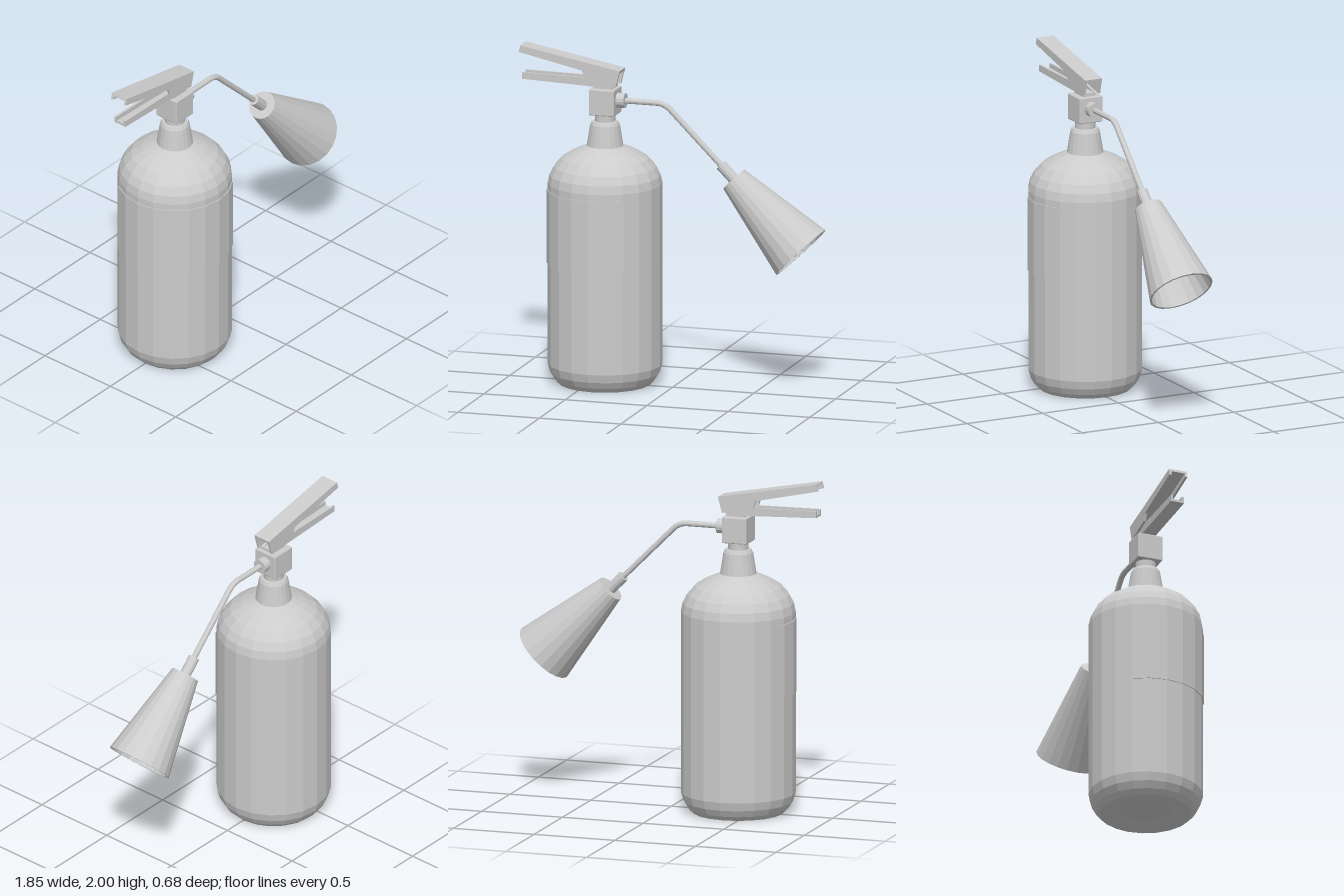
import * as THREE from 'three';
import { RoundedBoxGeometry } from 'three/addons/geometries/RoundedBoxGeometry.js';

const material = new THREE.MeshStandardMaterial({ color: 0xcccccc, flatShading: true });
const thinMaterial = new THREE.MeshStandardMaterial({ color: 0xcccccc, flatShading: true, side: THREE.DoubleSide });
const AXIS_X = -0.415; // centre line of the tank

const points = (list) => list.map(([x, y]) => new THREE.Vector2(x, y));

function add(parent, name, geometry, mat = material) {
  const mesh = new THREE.Mesh(geometry, mat);
  mesh.name = name;
  parent.add(mesh);
  return mesh;
}

const lathe = (list, sides = 20, start = 0, arc = Math.PI * 2) =>
  new THREE.LatheGeometry(points(list), sides, start, arc);

// Side outline in x/y, extruded to a plate centred on z
function plate(list, thickness, z = 0) {
  const geometry = new THREE.ExtrudeGeometry(new THREE.Shape(points(list)), { depth: thickness, bevelEnabled: false });
  return geometry.translate(0, 0, z - thickness / 2);
}

// Folded sheet lever: two side walls joined by a web
function channelLever(name, wall, web, halfWidth) {
  const lever = new THREE.Group();
  lever.name = name;
  const t = 0.014;
  for (const side of [1, -1]) add(lever, 'leverWall', plate(wall, t, side * (halfWidth - t / 2)));
  add(lever, 'leverWeb', plate(web, (halfWidth - t) * 2));
  return lever;
}

export function createModel() {
  const model = new THREE.Group();
  model.name = 'fireExtinguisher';

  // Tank with recessed base and domed shoulder
  const tank = new THREE.Group();
  tank.name = 'tank';
  tank.position.x = AXIS_X;
  model.add(tank);
  add(tank, 'tankBody', lathe([
    [0, 0.025], [0.15, 0.025], [0.2, 0.005], [0.27, 0], [0.298, 0.028], [0.322, 0.068], [0.336, 0.118],
    [0.336, 1.2], [0.326, 1.25], [0.3, 1.3], [0.255, 1.35], [0.19, 1.39], [0.11, 1.425], [0, 1.425],
  ]));
  const deg = Math.PI / 180;
  add(tank, 'label', lathe(
    [[0.335, 0.72], [0.341, 0.72], [0.341, 1.16], [0.335, 1.16]], 9, -126 * deg, 162 * deg), thinMaterial);

  // Neck and collar below the valve
  add(tank, 'neck', lathe([
    [0, 1.42], [0.108, 1.42], [0.087, 1.55], [0.077, 1.57], [0.06, 1.572], [0.06, 1.625], [0, 1.625],
  ]));

  // Valve block, pedestal and outlet
  add(tank, 'valveBlock', new RoundedBoxGeometry(0.154, 0.157, 0.154, 1, 0.006)).position.y = 1.692;
  add(tank, 'leverPedestal', new THREE.BoxGeometry(0.11, 0.03, 0.08)).position.y = 1.776;
  const outlet = add(tank, 'outlet', new THREE.CylinderGeometry(0.044, 0.044, 0.06, 16));
  outlet.rotation.z = Math.PI / 2;
  outlet.position.set(0.096, 1.7, 0);

  // Squeeze lever (opens downward) and carrying handle (opens upward)
  model.add(channelLever('squeezeLever',
    [[-0.928, 1.96], [-0.54, 1.875], [-0.525, 1.832], [-0.333, 1.79], [-0.308, 1.885], [-0.917, 2]],
    [[-0.922, 1.984], [-0.312, 1.869], [-0.308, 1.885], [-0.917, 2]], 0.056));
  model.add(channelLever('carryHandle',
    [[-0.912, 1.797], [-0.45, 1.779], [-0.35, 1.779], [-0.35, 1.793], [-0.52, 1.831], [-0.912, 1.836]],
    [[-0.912, 1.797], [-0.45, 1.779], [-0.35, 1.779], [-0.35, 1.793], [-0.45, 1.793], [-0.912, 1.811]], 0.042));

  // Bent discharge pipe
  const v = (x, y) => new THREE.Vector3(x, y, 0);
  const path = new THREE.CurvePath();
  path.add(new THREE.LineCurve3(v(-0.3, 1.7), v(-0.1, 1.7)));
  path.add(new THREE.QuadraticBezierCurve3(v(-0.1, 1.7), v(-0.049, 1.7), v(-0.013, 1.664)));
  path.add(new THREE.LineCurve3(v(-0.013, 1.664), v(0.31, 1.341)));
  add(model, 'dischargePipe', new THREE.TubeGeometry(path, 48, 0.017, 10, false));

  // Horn: sleeve and hollow cone pointing down at 45 degrees
  const horn = new THREE.Group();
  horn.name = 'horn';
  horn.position.set(0.296, 1.355, 0);
  horn.rotation.z = -135 * deg;
  model.add(horn);
  add(horn, 'hornSleeve', lathe([[0, 0], [0.033, 0], [0.033, 0.12], [0, 0.12]], 12));
  add(horn, 'hornCone', lathe([
    [0, 0.113], [0.084, 0.113], [0.195, 0.695], [0.182, 0.695], [0.073, 0.128], [0, 0.128],
  ]));

  return model;
}
